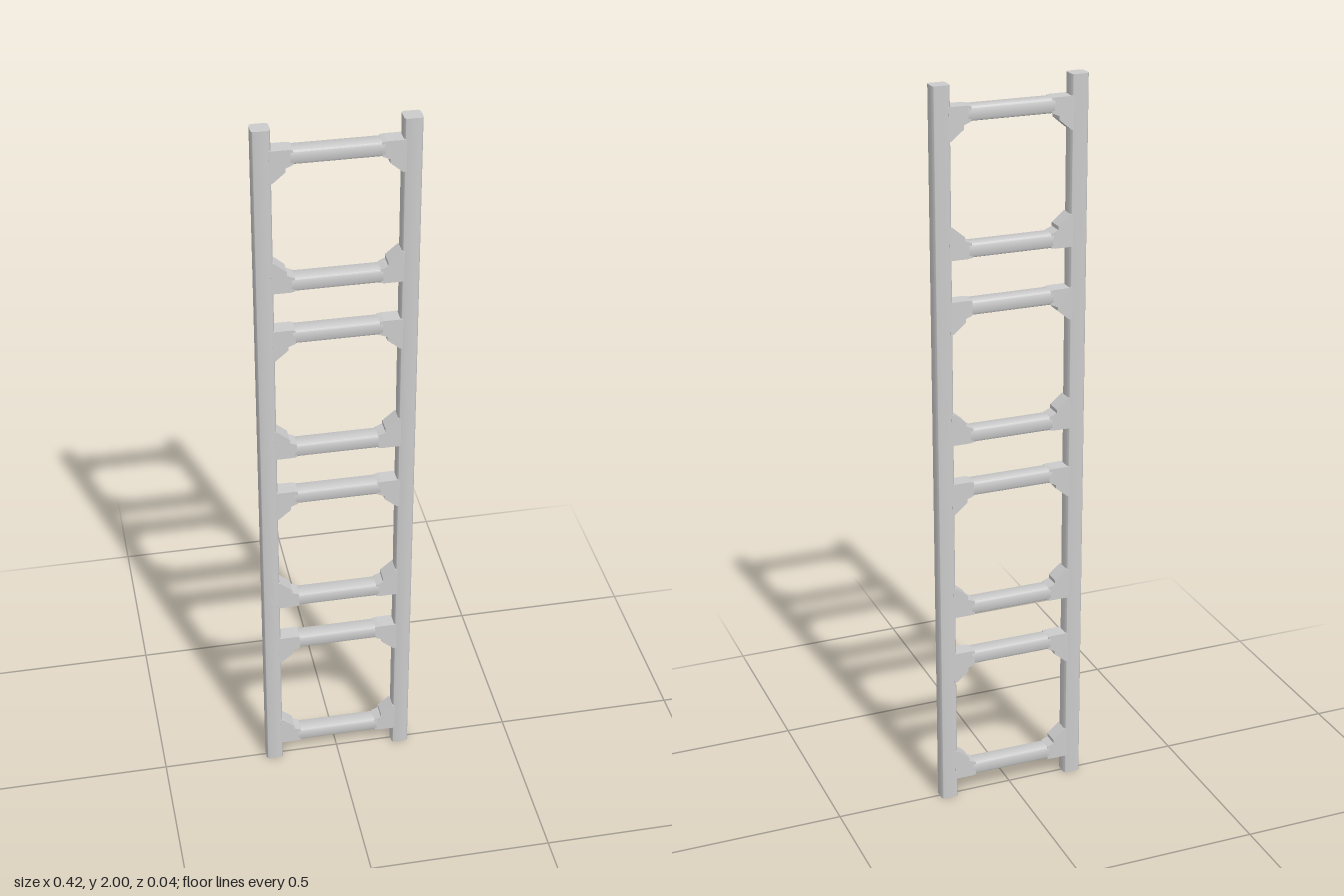
import * as THREE from 'three';
import { toCreasedNormals } from 'three/addons/utils/BufferGeometryUtils.js';

const material = new THREE.MeshStandardMaterial({ color: 0xcccccc });
const DEPTH = 0.044;

// Rounded rectangle bar of the given length, centred, running along z
function roundedBar(w, h, r, length) {
  const x = w / 2, y = h / 2;
  const s = new THREE.Shape();
  s.moveTo(-x + r, -y);
  s.lineTo(x - r, -y);
  s.absarc(x - r, -y + r, r, -Math.PI / 2, 0);
  s.lineTo(x, y - r);
  s.absarc(x - r, y - r, r, 0, Math.PI / 2);
  s.lineTo(-x + r, y);
  s.absarc(-x + r, y - r, r, Math.PI / 2, Math.PI);
  s.lineTo(-x, -y + r);
  s.absarc(-x + r, -y + r, r, Math.PI, Math.PI * 1.5);
  const g = new THREE.ExtrudeGeometry(s, { depth: length, bevelEnabled: false, curveSegments: 4 });
  g.translate(0, 0, -length / 2);
  return toCreasedNormals(g, 0.6);
}

// Rung end with corner brace; side is the x sign, dir the y sign towards the opening
function braceGeometry(side, dir) {
  const points = [
    [0.108, -0.019], [0.118, -0.021], [0.168, -0.021], [0.168, 0.065],
    [0.16, 0.065], [0.127, 0.037], [0.127, 0.027], [0.108, 0.019],
  ].map(([x, y]) => new THREE.Vector2(x * side, y * dir));
  const g = new THREE.ExtrudeGeometry(new THREE.Shape(points), { depth: DEPTH, bevelEnabled: false });
  return g.translate(0, 0, -DEPTH / 2);
}

export function createModel() {
  const ladder = new THREE.Group();
  ladder.name = 'ladder';
  const add = (geometry, name, parent) => {
    const mesh = new THREE.Mesh(geometry, material);
    mesh.name = name;
    parent.add(mesh);
    return mesh;
  };

  // Two full-height side rails
  const rail = roundedBar(0.047, DEPTH, 0.009, 2).rotateX(-Math.PI / 2);
  for (const side of [1, -1]) {
    add(rail, side > 0 ? 'leftRail' : 'rightRail', ladder).position.set(side * 0.1845, 1, 0);
  }

  // Four pairs of rungs, each braced towards the tall opening between them
  const rung = roundedBar(DEPTH, 0.038, 0.006, 0.23).rotateY(Math.PI / 2);
  for (let i = 0; i < 4; i++) {
    for (const dir of [1, -1]) {
      const group = new THREE.Group();
      group.name = dir > 0 ? 'lowerRung' : 'upperRung';
      group.position.y = 0.25 + i * 0.5 + 0.001 - dir * 0.174;
      add(rung, 'rungBar', group);
      for (const side of [1, -1]) add(braceGeometry(side, dir), 'cornerBrace', group);
      ladder.add(group);
    }
  }
  return ladder;
}
